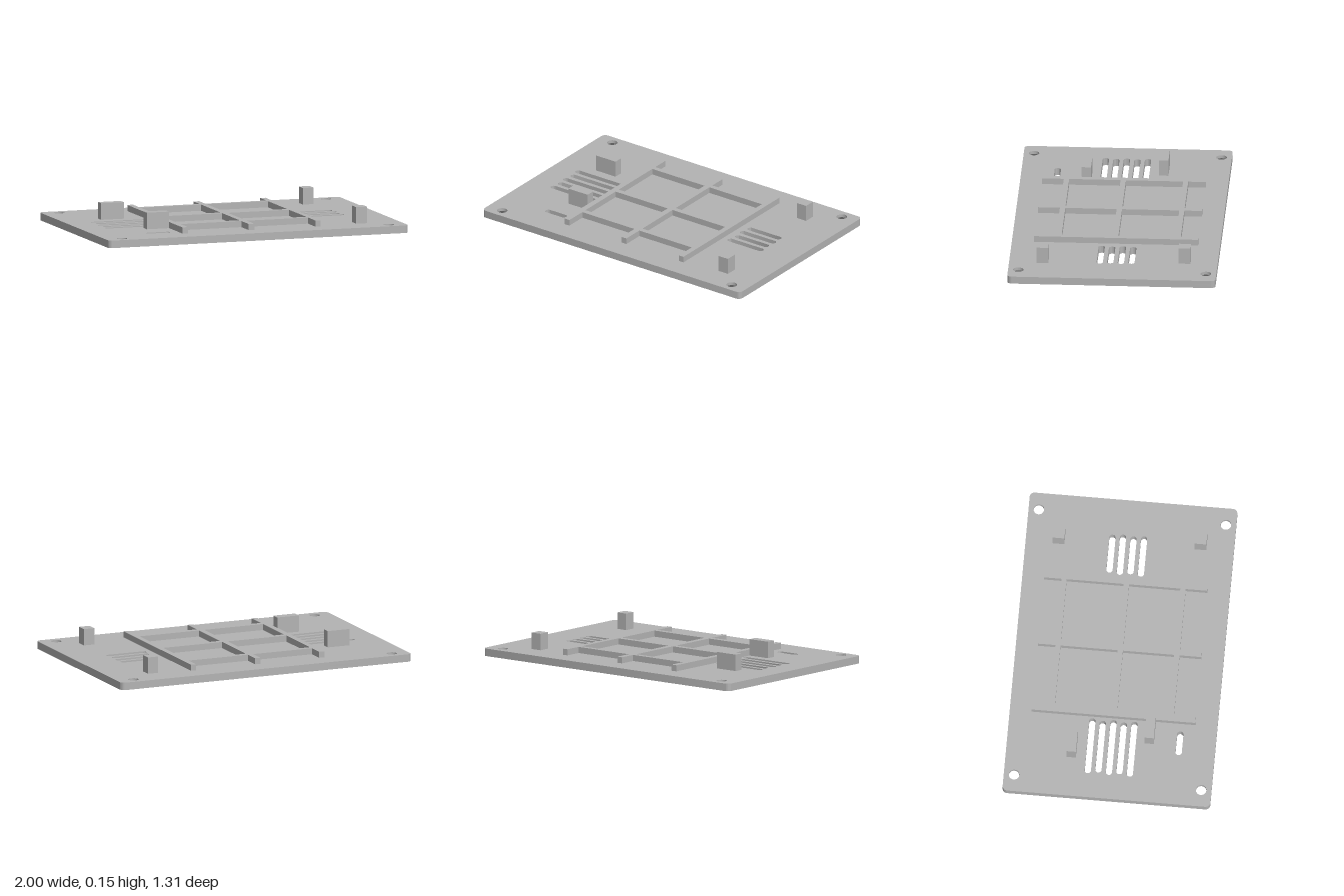
import * as THREE from 'three';
import { toCreasedNormals } from 'three/addons/utils/BufferGeometryUtils.js';

const W = 1, D = 0.655, TOP = 0.048, SEAM = 0.028, POST_TOP = 0.153, RIB_TOP = 0.087;
const HOLE = 0.033, SINK = 0.062;
const corners = [[-0.89, -0.59], [0.89, -0.59], [-0.89, 0.59], [0.89, 0.59]];

// Vent slots: x start, x end, z
const slots = [
  [-0.84, -0.472, -0.131], [-0.83, -0.483, -0.065], [-0.84, -0.472, 0.002],
  [-0.83, -0.483, 0.068], [-0.84, -0.472, 0.134],
  [0.508, 0.762, -0.113], [0.498, 0.768, -0.047], [0.508, 0.762, 0.02], [0.498, 0.768, 0.086],
  [-0.67, -0.512, 0.427],
];

// Shapes are drawn in x and -z, then laid flat
function plateShape(holeRadius) {
  const r = 0.03, s = new THREE.Shape();
  s.absarc(W - r, D - r, r, 0, Math.PI / 2);
  s.absarc(-W + r, D - r, r, Math.PI / 2, Math.PI);
  s.absarc(-W + r, -D + r, r, Math.PI, Math.PI * 1.5);
  s.absarc(W - r, -D + r, r, Math.PI * 1.5, Math.PI * 2);
  s.closePath();
  for (const [x, z] of corners) {
    s.holes.push(new THREE.Path().absarc(x, -z, holeRadius, 0, Math.PI * 2));
  }
  for (const [x0, x1, z] of slots) {
    const q = 0.02, p = new THREE.Path();
    p.absarc(x1 - q, -z, q, -Math.PI / 2, Math.PI / 2);
    p.absarc(x0 + q, -z, q, Math.PI / 2, Math.PI * 1.5);
    p.closePath();
    s.holes.push(p);
  }
  return s;
}

// One layer of the plate, without the faces hidden at the seam or behind the countersinks
function plateLayer(holeRadius, y0, y1, sunk) {
  const geo = new THREE.ExtrudeGeometry(plateShape(holeRadius), { depth: y1 - y0, bevelEnabled: false, curveSegments: 16 });
  geo.rotateX(-Math.PI / 2);
  geo.translate(0, y0, 0);
  const p = geo.attributes.position, kept = [];
  for (let i = 0; i < p.count; i += 3) {
    const tri = [0, 1, 2].map((k) => new THREE.Vector3().fromBufferAttribute(p, i + k));
    const atSeam = tri.every((v) => Math.abs(v.y - SEAM) < 1e-5);
    const inSink = sunk && corners.some(([x, z]) => tri.every((v) => Math.hypot(v.x - x, v.z - z) < SINK + 1e-3));
    if (!atSeam && !inSink) tri.forEach((v) => kept.push(v.x, v.y, v.z));
  }
  const out = new THREE.BufferGeometry();
  out.setAttribute('position', new THREE.Float32BufferAttribute(kept, 3));
  return toCreasedNormals(out, 0.6);
}

export function createModel() {
  const group = new THREE.Group();
  const grey = new THREE.MeshStandardMaterial({ color: 0xb3b3b3 });
  grey.name = 'grey plastic';
  const greyInside = new THREE.MeshStandardMaterial({ color: 0xb3b3b3, side: THREE.DoubleSide });
  greyInside.name = 'grey plastic, open surface';

  const add = (name, geo, mat = grey) => {
    const m = new THREE.Mesh(geo, mat);
    m.name = name;
    group.add(m);
    return m;
  };
  const box = (name, x0, x1, z0, z1, top) =>
    add(name, new THREE.BoxGeometry(x1 - x0, top - TOP, z1 - z0))
      .position.set((x0 + x1) / 2, (TOP + top) / 2, (z0 + z1) / 2);

  // Base plate with screw holes and vents
  add('plateBottom', plateLayer(SINK, 0, SEAM, true));
  add('plateTop', plateLayer(HOLE, SEAM, TOP, false));

  // Conical screw recesses on the underside
  for (const [x, z] of corners) {
    const cone = new THREE.LatheGeometry([new THREE.Vector2(SINK, 0), new THREE.Vector2(HOLE, SEAM)], 32);
    add('countersink', cone, greyInside).position.set(x, 0, z);
  }

  // Rib grid: three long ribs with cross ribs between them
  const ribs = [[-0.461, -0.423], [-0.019, 0.019], [0.426, 0.461]];
  for (const [x0, x1] of ribs) box('longRib', x0, x1, -0.517, 0.515, RIB_TOP);
  for (const [z0, z1] of [[-0.406, -0.374], [-0.014, 0.02], [0.343, 0.377]]) {
    for (let i = 0; i < 2; i++) box('crossRib', ribs[i][1], ribs[i + 1][0], z0, z1, RIB_TOP);
  }

  // Support posts
  const posts = [
    [-0.743, -0.592, -0.272, -0.213], [-0.61, -0.461, 0.208, 0.267],
    [0.672, 0.743, -0.485, -0.41], [0.71, 0.782, 0.408, 0.482],
  ];
  for (const p of posts) box('supportPost', ...p, POST_TOP);

  return group;
}
